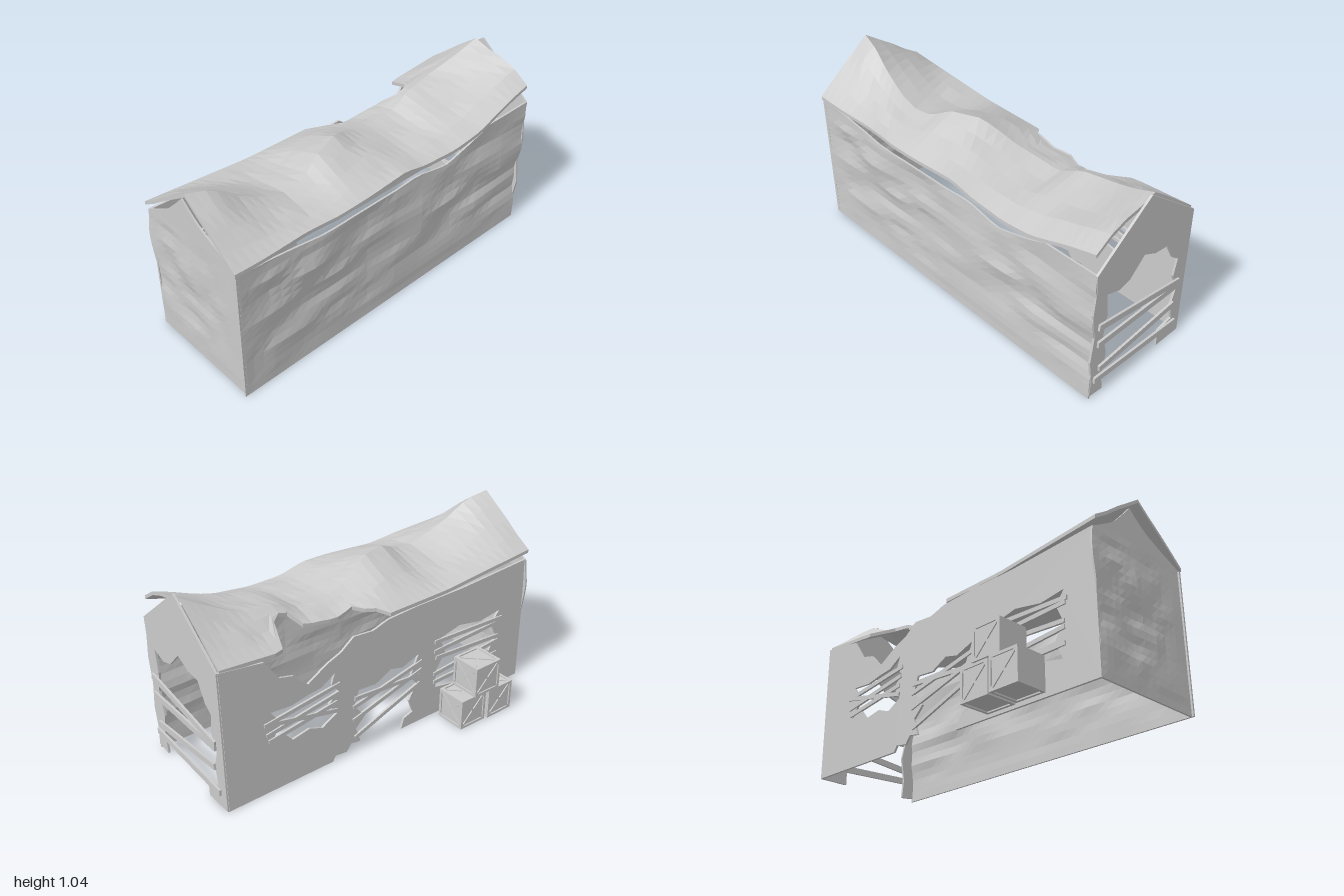
import * as THREE from 'three';

const grey = () => new THREE.MeshStandardMaterial({ color: 0xcccccc, flatShading: true, side: THREE.DoubleSide });

// Piecewise linear lookup through [position, value] pairs
function along(points, t) {
  if (t <= points[0][0]) return points[0][1];
  for (let i = 1; i < points.length; i++) {
    const [a, va] = points[i - 1], [b, vb] = points[i];
    if (t <= b) return va + (vb - va) * (t - a) / (b - a);
  }
  return points[points.length - 1][1];
}

// Seeded value noise, -1 to 1
const hash = (i, j) => { const s = Math.sin(i * 127.1 + j * 311.7) * 43758.5453; return 2 * (s - Math.floor(s)) - 1; };
function noise(x, y) {
  const i = Math.floor(x), j = Math.floor(y), f = x - i, g = y - j;
  return (hash(i, j) * (1 - f) + hash(i + 1, j) * f) * (1 - g) + (hash(i, j + 1) * (1 - f) + hash(i + 1, j + 1) * f) * g;
}

// Warped sheet with thickness: point(u, v) gives its outer side
function slab(name, nu, nv, point, offset) {
  const pos = [], p = (i, j) => point(i / nu, j / nv);
  const low = (v) => v.clone().add(offset);
  const tri = (...c) => {
    if (new THREE.Triangle(...c).getArea() > 1e-9) c.forEach((v) => pos.push(v.x, v.y, v.z));
  };
  const quad = (a, b, c, d) => { tri(a, b, c); tri(a, c, d); };
  for (let i = 0; i < nu; i++) for (let j = 0; j < nv; j++) {
    const c = [p(i, j), p(i + 1, j), p(i + 1, j + 1), p(i, j + 1)];
    const l = c.map(low);
    quad(...c);
    quad(l[3], l[2], l[1], l[0]);
    [j === 0, i === nu - 1, j === nv - 1, i === 0].forEach((open, k) => {
      const m = (k + 1) % 4;
      if (open) quad(l[k], l[m], c[m], c[k]);
    });
  }
  const geo = new THREE.BufferGeometry();
  geo.setAttribute('position', new THREE.Float32BufferAttribute(pos, 3));
  geo.computeVertexNormals();
  const mesh = new THREE.Mesh(geo, grey());
  mesh.name = name;
  return mesh;
}

// Flat wall with ragged outline and holes
function cutWall(name, outline, holes) {
  const v = (list) => list.map(([x, y]) => new THREE.Vector2(x, y));
  const shape = new THREE.Shape(v(outline));
  holes.forEach((h) => shape.holes.push(new THREE.Path(v(h))));
  const mesh = new THREE.Mesh(new THREE.ExtrudeGeometry(shape, { depth: 0.012, bevelEnabled: false }), grey());
  mesh.name = name;
  return mesh;
}

// Plank between two points in a wall's own plane
function plank(name, x1, y1, x2, y2, z, width = 0.03) {
  const mesh = new THREE.Mesh(new THREE.BoxGeometry(Math.hypot(x2 - x1, y2 - y1), width, 0.012), grey());
  mesh.position.set((x1 + x2) / 2, (y1 + y2) / 2, z);
  mesh.rotation.z = Math.atan2(y2 - y1, x2 - x1);
  mesh.name = name;
  return mesh;
}

// Crate: core flush at the front and recessed elsewhere, edge frame, crosses on the other sides and lid
function crate(x, y, z) {
  const g = new THREE.Group(), s = 0.175, t = 0.014, h = (s - t) / 2;
  g.name = 'crate';
  const box = (name, w, hh, d, px, py, pz) => {
    const m = new THREE.Mesh(new THREE.BoxGeometry(w, hh, d), grey());
    m.position.set(px, py, pz);
    m.name = name;
    g.add(m);
  };
  box('crateCore', s - t, s - t, s - t / 2, 0, 0, t / 4);
  for (const a of [-h, h]) for (const b of [-h, h]) {
    box('crateRail', s, t, t, 0, a, b);
    box('cratePost', t, s, t, a, 0, b);
    box('crateRail', t, t, s, a, b, 0);
  }
  const e = h - t / 2;
  for (const [rx, ry] of [[0, 1], [0, 2], [0, 3], [-1, 0]]) {
    const side = new THREE.Group();
    side.name = 'crateCross';
    side.add(plank('brace', -e, -e, e, e, h, 0.012), plank('brace', -e, e, e, -e, h, 0.012));
    side.rotation.set(rx * Math.PI / 2, ry * Math.PI / 2, 0);
    g.add(side);
  }
  g.position.set(x, y + s / 2, z);
  return g;
}

export function createModel() {
  const model = new THREE.Group();
  const L = -0.235, R = 0.43;

  // Sagging roof: ridge height, ridge drift, eaves and torn right-hand edge along z
  const ridgeY = [[-0.97, 1.025], [-0.85, 0.96], [-0.7, 0.89], [-0.5, 0.865], [-0.37, 0.8], [-0.2, 0.8], [-0.1, 0.82],
    [0, 0.86], [0.1, 0.91], [0.27, 0.9], [0.38, 0.84], [0.5, 0.82], [0.63, 0.86], [0.75, 0.92], [0.88, 1.01], [1, 1.038]];
  const ridgeX = [[-0.97, 0.06], [-0.85, 0.03], [-0.7, -0.01], [-0.55, 0], [-0.4, 0.02], [-0.2, 0.01], [0, 0.05],
    [0.2, 0.12], [0.4, 0.18], [0.6, 0.18], [0.8, 0.15], [1, 0.11]];
  const leftEave = [[-0.97, 0.89], [-0.8, 0.84], [-0.6, 0.775], [-0.4, 0.75], [-0.2, 0.755], [-0.05, 0.79], [0.1, 0.785],
    [0.4, 0.765], [0.6, 0.78], [1, 0.785]];
  const rightEave = [[-0.97, 0.79], [-0.6, 0.76], [-0.3, 0.73], [0, 0.74], [0.4, 0.745], [1, 0.797]];
  const tornX = [[-0.63, L], [-0.6, -0.17], [-0.58, -0.09], [-0.54, -0.05], [-0.44, -0.05], [-0.43, -0.11],
    [-0.25, -0.13], [-0.13, -0.11], [-0.05, -0.12], [-0.1, -0.17], [-0.02, L]].sort((a, b) => a[0] - b[0]);
  const roofZ = (v) => 1 - 1.97 * v;
  const ripple = (u, z) => 0.01 * noise(u * 4 + 2, z * 9) * Math.sin(Math.PI * u);
  model.add(slab('roofRight', 4, 40, (u, v) => {
    const z = roofZ(v), rx = along(ridgeX, z), ry = along(ridgeY, z), ey = along(rightEave, z);
    const x = THREE.MathUtils.lerp(along(tornX, z), rx, u), k = (x - L) / (rx - L);
    return new THREE.Vector3(x, ey + (ry - ey) * k + ripple(k, z), z);
  }, new THREE.Vector3(0, -0.02, 0)));
  model.add(slab('roofLeft', 4, 40, (u, v) => {
    const z = roofZ(v), rx = along(ridgeX, z), ry = along(ridgeY, z), ey = along(leftEave, z);
    const bow = Math.sin(Math.PI * u * u) * 0.03 * Math.max(0, -z);
    const x = THREE.MathUtils.lerp(rx, R + 0.005 * Math.sin(z * 9) * u, u);
    return new THREE.Vector3(x, ry + (ey - ry) * u + bow + ripple(u, z + 3), z);
  }, new THREE.Vector3(0, -0.02, 0)));

  // Dented left side wall with a sagging top edge, swollen near the front
  const leftTop = [[-0.98, 0.78], [-0.66, 0.775], [-0.6, 0.735], [-0.45, 0.69], [-0.35, 0.67], [-0.15, 0.71], [0, 0.7],
    [0.3, 0.71], [0.5, 0.715], [0.65, 0.73], [1, 0.765]];
  model.add(slab('leftWall', 32, 18, (u, v) => {
    const z = 0.995 - 1.98 * u, y = Math.min(v * 0.78, along(leftTop, z));
    const bulge = 0.02 * Math.exp(-(((z - 0.55) / 0.14) ** 2) - ((y - 0.58) / 0.13) ** 4);
    const dent = 0.016 * (noise(z * 5 + 9, y * 14) - 0.35) * Math.min(1, y * 4, (0.995 - z) * 5, (0.8 - y) * 6);
    return new THREE.Vector3(R + bulge + dent, y, z);
  }, new THREE.Vector3(-0.01, 0, 0)));

  // Dented front gable, slumped below the roof
  const gableTop = [[L, 0.74], [-0.15, 0.79], [-0.08, 0.83], [0, 0.91], [0.06, 0.975], [0.11, 0.92], [0.17, 0.88], [0.28, 0.83], [R, 0.77]];
  model.add(slab('frontWall', 16, 24, (u, v) => {
    const x = L + (R - L) * u, y = Math.min(v * 0.975, along(gableTop, x));
    const fade = Math.min(1, y * 6, (1 - u) * 3) * THREE.MathUtils.clamp((0.76 - y) * 8, 0, 1) * (u > 0.45 ? 0.5 : 1);
    const lean = -0.02 * Math.exp(-(((y - 0.6) / 0.12) ** 2)) * (1 - u) ** 4;
    return new THREE.Vector3(x + lean, y, 0.985 + fade * 0.014 * noise(x * 11 + 4, y * 13));
  }, new THREE.Vector3(0, 0, -0.01)));

  // Back gable with a broken opening, boarded across
  const back = new THREE.Group();
  back.name = 'backGable';
  back.add(cutWall('backWall', [[L, 0], [L, 0.78], [0.1, 1.04], [R, 0.78], [0.425, 0.68], [0.438, 0.55], [0.42, 0.4], [0.438, 0.25],
    [0.42, 0.12], [0.43, 0.02], [0.34, 0.01], [0.35, 0.12], [0.33, 0.25], [0.36, 0.38], [0.34, 0.5], [0.355, 0.63], [0.27, 0.6],
    [0.2, 0.62], [0.11, 0.71], [0.03, 0.67], [-0.06, 0.66], [-0.11, 0.56], [-0.16, 0.52], [-0.14, 0.42], [-0.18, 0.32],
    [-0.15, 0.22], [-0.17, 0.12], [-0.07, 0.1], [-0.07, 0]], []));
  [[0.4, 0.46, -0.18, 0.37], [0.4, 0.35, -0.18, 0.35], [0.38, 0.18, -0.16, 0.23], [0.41, 0.12, -0.19, 0.09]]
    .forEach((b) => back.add(plank('backBoard', ...b, -0.006, 0.035)));
  back.position.z = -0.988;
  model.add(back);

  // Right side wall: windows, doorway to the ground and collapsed top edge (x is along the building)
  const right = new THREE.Group();
  right.name = 'rightSide';
  const windows = [
    [[-0.73, 0.28], [-0.66, 0.32], [-0.6, 0.25], [-0.5, 0.27], [-0.42, 0.24], [-0.33, 0.29], [-0.38, 0.36], [-0.32, 0.42],
      [-0.36, 0.47], [-0.34, 0.53], [-0.42, 0.48], [-0.5, 0.47], [-0.6, 0.45], [-0.72, 0.46], [-0.66, 0.38]],
    [[0.34, 0.17], [0.5, 0.14], [0.63, 0.18], [0.78, 0.15], [0.74, 0.25], [0.79, 0.33], [0.75, 0.42], [0.8, 0.49],
      [0.66, 0.47], [0.5, 0.5], [0.36, 0.47], [0.4, 0.37], [0.34, 0.28]],
  ];
  right.add(cutWall('rightWall', [[-0.98, 0], [-0.36, 0], [-0.34, 0.03], [-0.27, 0.02], [-0.24, 0.06], [-0.18, 0.05], [-0.21, 0.14],
    [-0.15, 0.2], [-0.22, 0.28], [-0.19, 0.37], [-0.08, 0.36], [0.02, 0.41], [0.1, 0.39], [0.21, 0.43], [0.16, 0.32], [0.2, 0.25],
    [0.15, 0.16], [0.18, 0.08], [0.12, 0.06], [0.1, 0], [0.985, 0], [0.985, 0.745], [0.5, 0.72], [0.2, 0.72], [0, 0.71], [-0.1, 0.68],
    [-0.22, 0.69], [-0.3, 0.63], [-0.38, 0.6], [-0.5, 0.53], [-0.58, 0.61], [-0.66, 0.63], [-0.74, 0.745], [-0.98, 0.78]], windows));
  [[-0.76, 0.4, -0.31, 0.46], [-0.75, 0.34, -0.32, 0.41], [-0.74, 0.3, -0.33, 0.36], [-0.74, 0.4, -0.33, 0.31],
    [-0.23, 0.28, 0.23, 0.38], [-0.23, 0.2, 0.23, 0.33], [-0.22, 0.33, 0.22, 0.3], [-0.22, 0.09, 0.22, 0.25],
    [0.32, 0.46, 0.82, 0.44], [0.32, 0.4, 0.81, 0.42], [0.33, 0.36, 0.8, 0.33], [0.32, 0.26, 0.8, 0.3], [0.32, 0.21, 0.8, 0.22]]
    .forEach((b) => right.add(plank('sideBoard', ...b, 0.014, 0.022)));
  right.rotation.y = -Math.PI / 2;
  right.position.x = -0.226;
  model.add(right);

  // Stacked crates
  model.add(crate(-0.358, 0, 0.4325), crate(-0.3675, 0, 0.6225), crate(-0.3675, 0.175, 0.5175));
  return model;
}
